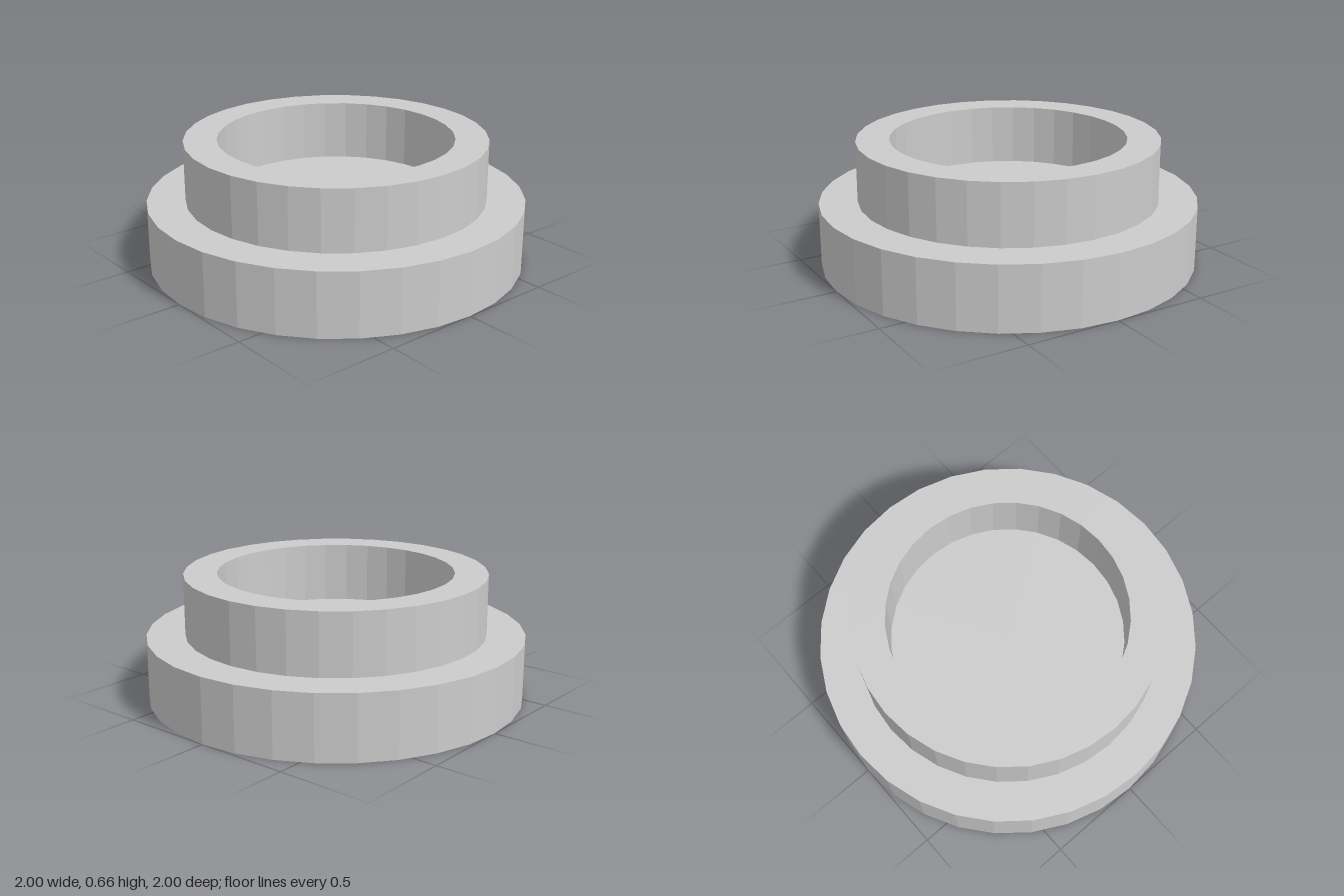
import * as THREE from 'three';

const SIDES = 32;
const BASE_HEIGHT = 0.34;
const TOP = 0.663;

export function createModel() {
  const group = new THREE.Group();
  group.name = 'steppedRing';
  const material = new THREE.MeshStandardMaterial({ color: 0xcccccc, flatShading: true });

  // Solid round base; its top also forms the floor of the recess
  const base = new THREE.Mesh(new THREE.CylinderGeometry(1, 1, BASE_HEIGHT, SIDES), material);
  base.name = 'base';
  base.position.y = BASE_HEIGHT / 2;
  group.add(base);

  // Raised collar: outer wall, flat rim, inner wall
  const profile = [
    [0.797, BASE_HEIGHT], [0.797, TOP], [0.622, TOP], [0.622, BASE_HEIGHT],
  ].map(([r, y]) => new THREE.Vector2(r, y));
  const collar = new THREE.Mesh(new THREE.LatheGeometry(profile, SIDES), material);
  collar.name = 'collar';
  group.add(collar);

  return group;
}
